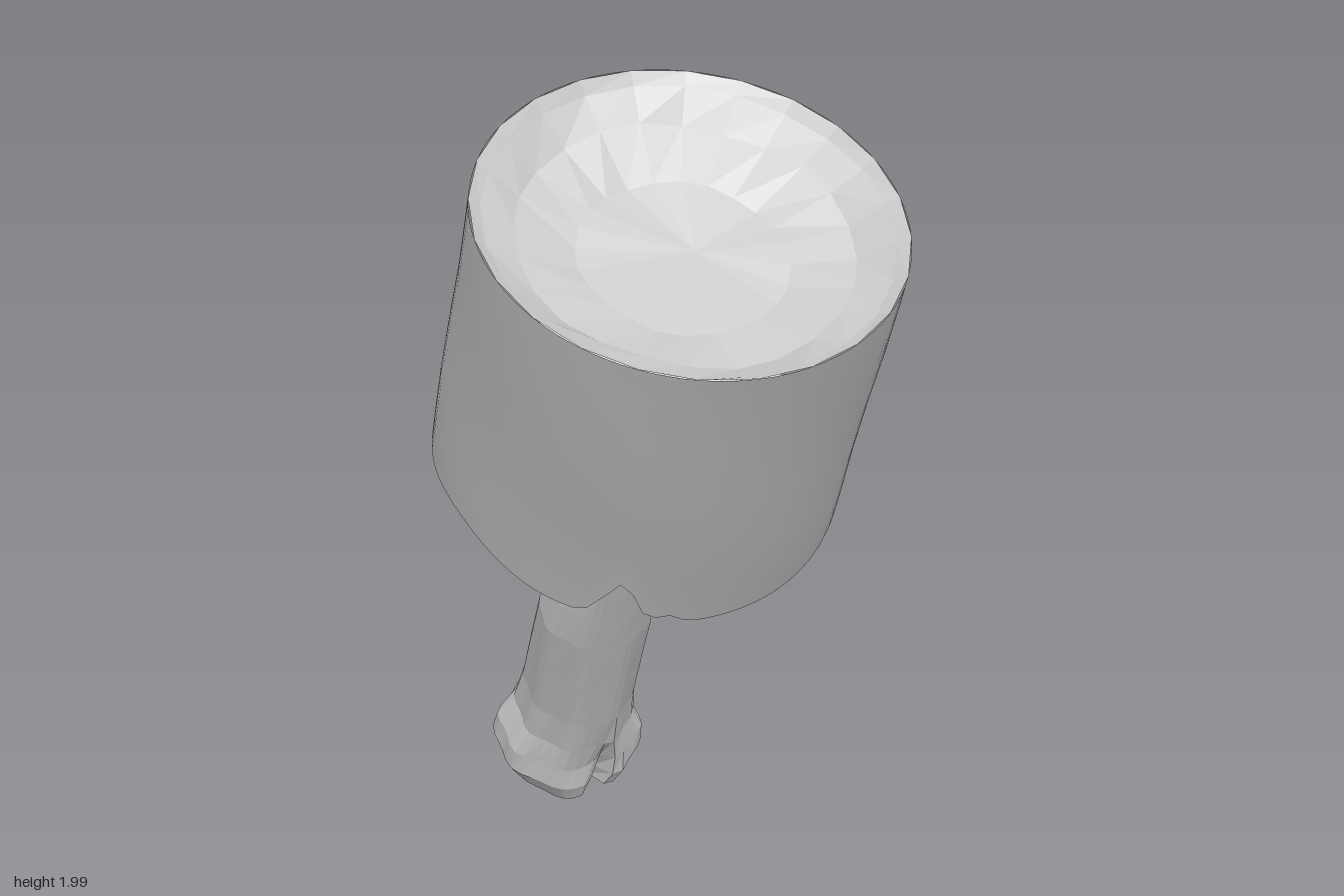
import * as THREE from 'three';

const SEG = 48;

// Skin a stack of rings (bottom to top); each ring maps an angle (0 = front) to [x, y, z].
function loft(name, rings, seg, flat) {
  const pos = [], index = [];
  rings.forEach((ring, i) => {
    for (let j = 0; j < seg; j++) pos.push(...ring((j / seg) * Math.PI * 2));
    if (i === 0) return;
    for (let j = 0; j < seg; j++) {
      const k = (j + 1) % seg, a = (i - 1) * seg + j, b = (i - 1) * seg + k;
      index.push(a, b, i * seg + k, a, i * seg + k, i * seg + j);
    }
  });
  const geo = new THREE.BufferGeometry();
  geo.setAttribute('position', new THREE.Float32BufferAttribute(pos, 3));
  geo.setIndex(index);
  geo.computeVertexNormals();
  const mat = new THREE.MeshStandardMaterial({ color: 0xcccccc, flatShading: flat, side: THREE.DoubleSide });
  const mesh = new THREE.Mesh(geo, mat);
  mesh.name = name;
  return mesh;
}

// Bell centred on angle c with width w, wrapping around the circle
const bell = (t, c, w) => {
  const d = Math.atan2(Math.sin(t - c), Math.cos(t - c));
  return Math.exp(-((d / w) ** 2));
};

// Lower edge of the head: arched sides and chips at the front
const rimLift = (t) => 0.045 * (bell(t, 1.35, 0.5) + bell(t, -1.3, 0.4))
  + 0.12 * bell(t, -0.38, 0.1) + 0.025 * bell(t, -0.14, 0.07);

// Radial pleats of the carved underside
const pleat = (t) => Math.sin(t * 12 + 0.8 * Math.sin(3 * t));

// Oval handle section: half width, front reach, back reach, flute depth, foot notch
function handleRing(y, half, front, back, flute = 0.004, notch = 0) {
  return (t) => {
    const k = 1 + (flute / half) * Math.sin(t * 8 + y * 2)
      - notch * bell(t, 0.3, 0.14) - (0.14 + notch * 0.5) * bell(t, Math.PI - 0.22, 0.16);
    const mid = (front - back) / 2, deep = (front + back) / 2;
    return [Math.sin(t) * half * k, y, mid + Math.cos(t) * deep * k];
  };
}

function createHandle() {
  return loft('handle', [
    () => [0, -1.165, -0.033],
    handleRing(-1.178, 0.155, 0.138, 0.206, 0.004, 0.4),
    handleRing(-1.13, 0.187, 0.14, 0.208, 0.006, 0.34),
    handleRing(-1.07, 0.18, 0.122, 0.193, 0.008, 0.2),
    handleRing(-1.0, 0.147, 0.115, 0.184, 0.006, 0.06),
    handleRing(-0.9, 0.137, 0.107, 0.178),
    handleRing(-0.75, 0.137, 0.098, 0.169),
    handleRing(-0.6, 0.137, 0.091, 0.157),
    handleRing(-0.5, 0.121, 0.086, 0.14),
    handleRing(-0.38, 0.092, 0.081, 0.122),
    handleRing(-0.28, 0.076, 0.074, 0.114),
    handleRing(-0.18, 0.075, 0.075, 0.11, 0.007),
    handleRing(-0.1, 0.085, 0.1, 0.11, 0.01),
    handleRing(-0.02, 0.1, 0.13, 0.13, 0.01),
  ], 40, true);
}

// Pleated flare running from the neck out to the rim
function createUnderside() {
  const ring = (r, y, amp, sag, lift) => (t) => [
    Math.sin(t) * r,
    y + amp * pleat(t) - sag * bell(t, 0, 0.9) + lift * rimLift(t),
    Math.cos(t) * r - 0.02 * (1 - r / 0.455),
  ];
  return loft('underside', [
    ring(0.085, -0.13, 0.012, 0.0, 0),
    ring(0.13, -0.05, 0.016, 0.05, 0.05),
    ring(0.2, -0.01, 0.02, 0.06, 0.25),
    ring(0.32, 0.015, 0.018, 0.04, 0.6),
    ring(0.455, 0, 0, 0, 1),
  ], SEG * 2, true);
}

// Slightly uneven drum of the head
function createBarrel() {
  const ring = (f) => (t) => {
    const r = 0.458 - 0.012 * f + 0.004 * Math.sin(3 * t + 5 * f) * Math.sin(Math.PI * f);
    return [Math.sin(t) * (r + 0.005 + 0.01 * f), 0.77 * f + rimLift(t) * (1 - f) ** 3, Math.cos(t) * r];
  };
  return loft('barrel', [0, 0.06, 0.15, 0.3, 0.5, 0.7, 0.9, 1].map(ring), SEG * 2, false);
}

// Roughly hewn bowl sunk into the striking face
function createFace() {
  const ring = (r, y, rough) => (t) => [
    Math.sin(t) * r * 1.034, y + rough * Math.sin(t * 5 + r * 30), Math.cos(t) * r,
  ];
  return loft('strikingFace', [
    ring(0.446, 0.77, 0),
    ring(0.42, 0.748, 0.003),
    ring(0.35, 0.7, 0.008),
    ring(0.22, 0.655, 0.006),
    () => [0.04, 0.635, -0.03],
  ], SEG / 2, true);
}

export function createModel() {
  const model = new THREE.Group();
  model.name = 'mallet';
  // The whole mallet leans forward about the base of its head
  const tilted = new THREE.Group();
  tilted.name = 'tiltedMallet';
  tilted.add(createHandle(), createUnderside(), createBarrel(), createFace());
  tilted.rotation.x = 0.493;
  tilted.position.set(0, 1.105, -0.01);
  model.add(tilted);
  return model;
}
